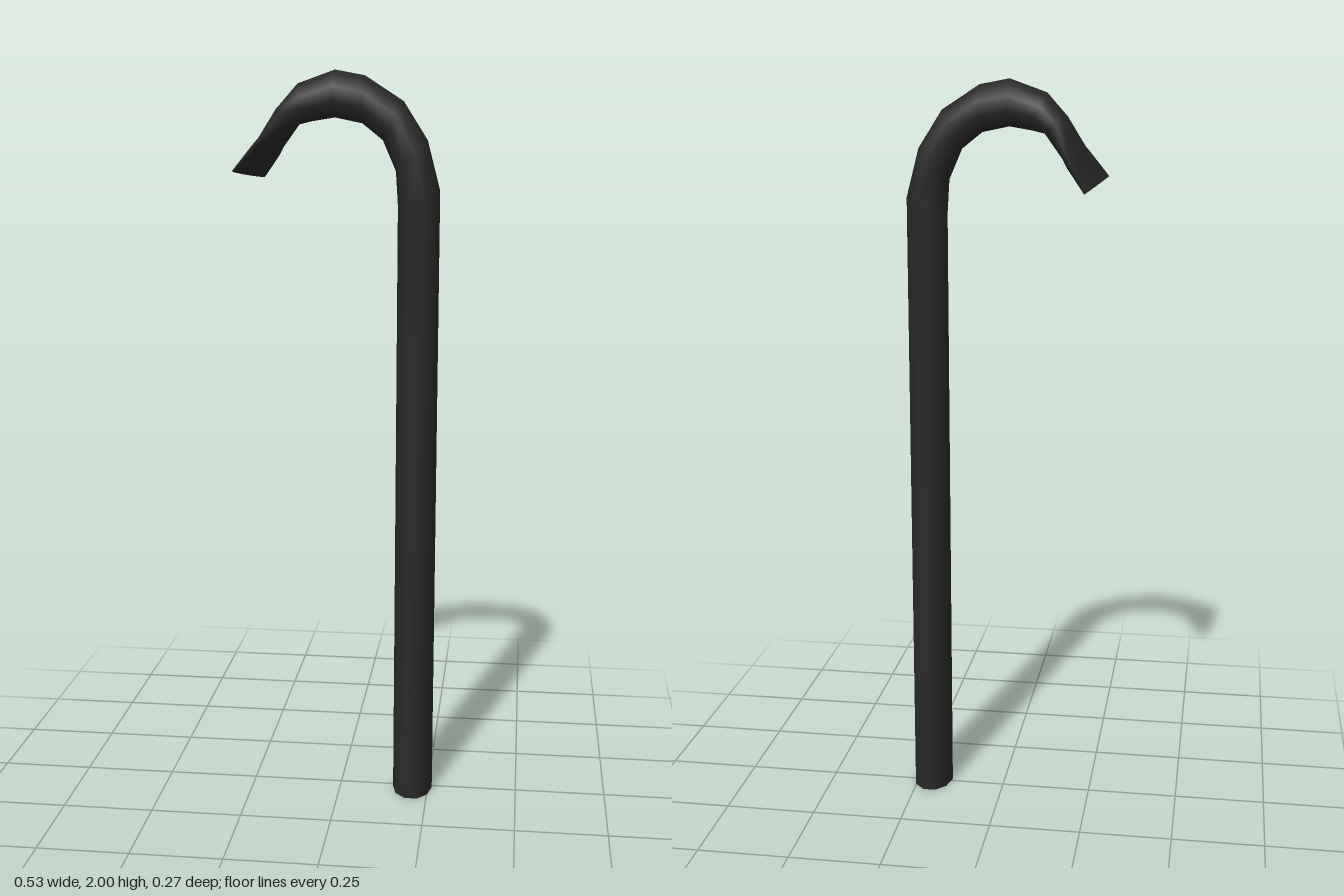
import * as THREE from 'three';

const SIDES = 10;

// Cross-sections from foot to blade tip:
// [outer x, outer y, inner x, inner y, half width in z, z centre, twist]
const SECTIONS = [
  [0.262, 0, 0.151, 0, 0.077, 0.012, 0],
  [0.262, 1.69, 0.151, 1.65, 0.077, 0.012, 0],
  [0.228, 1.82, 0.145, 1.74, 0.07, 0.011, 0],
  [0.164, 1.92, 0.11, 1.82, 0.06, 0.011, 0],
  [0.063, 1.985, 0.056, 1.863, 0.056, 0.011, 0],
  [-0.016, 2.0, -0.016, 1.878, 0.056, 0.011, 0],
  [-0.116, 1.965, -0.078, 1.868, 0.064, 0.003, 0],
  [-0.17, 1.905, -0.112, 1.86, 0.077, -0.001, 0.04],
  [-0.215, 1.804, -0.187, 1.784, 0.123, -0.002, 0.14],
  [-0.255, 1.734, -0.243, 1.726, 0.134, -0.001, 0.165],
];

// One ten-sided ring lying between its outer and inner points
function ring([ox, oy, ix, iy, halfZ, zc, twist]) {
  const centre = new THREE.Vector3((ox + ix) / 2, (oy + iy) / 2, zc);
  const normal = new THREE.Vector3(ox - ix, oy - iy, 0);
  const thick = normal.length() / 2;
  normal.normalize();
  const points = [];
  for (let j = 0; j < SIDES; j++) {
    const t = (j / SIDES) * Math.PI * 2;
    const b = (Math.sin(t) * halfZ) / Math.sin(Math.PI * 0.4);
    const p = centre.clone().addScaledVector(normal, Math.cos(t) * thick + twist * b);
    p.z += b;
    points.push(p);
  }
  return { centre, points };
}

function geometryFrom(points, index) {
  const geo = new THREE.BufferGeometry().setFromPoints(points);
  geo.setIndex(index);
  geo.computeVertexNormals();
  return geo;
}

// Smooth skin through all rings
function loft(rings) {
  const index = [];
  for (let i = 0; i < rings.length - 1; i++) {
    for (let j = 0; j < SIDES; j++) {
      const a = i * SIDES + j;
      const b = i * SIDES + ((j + 1) % SIDES);
      index.push(a, a + SIDES, b, b, a + SIDES, b + SIDES);
    }
  }
  return geometryFrom(rings.flatMap((r) => r.points), index);
}

// Flat fan closing one end
function cap({ centre, points }, flip) {
  const index = [];
  for (let j = 0; j < SIDES; j++) {
    const a = j + 1, b = ((j + 1) % SIDES) + 1;
    index.push(0, flip ? b : a, flip ? a : b);
  }
  return geometryFrom([centre, ...points], index);
}

export function createModel() {
  const group = new THREE.Group();
  group.name = 'hookedBar';
  const material = new THREE.MeshStandardMaterial({ color: 0x2a2a2a });
  const add = (name, geometry) => {
    const mesh = new THREE.Mesh(geometry, material);
    mesh.name = name;
    group.add(mesh);
  };

  const rings = SECTIONS.map(ring);
  add('shaftAndHook', loft(rings));
  add('footCap', cap(rings[0], false));
  add('bladeEdge', cap(rings[rings.length - 1], true));
  return group;
}
